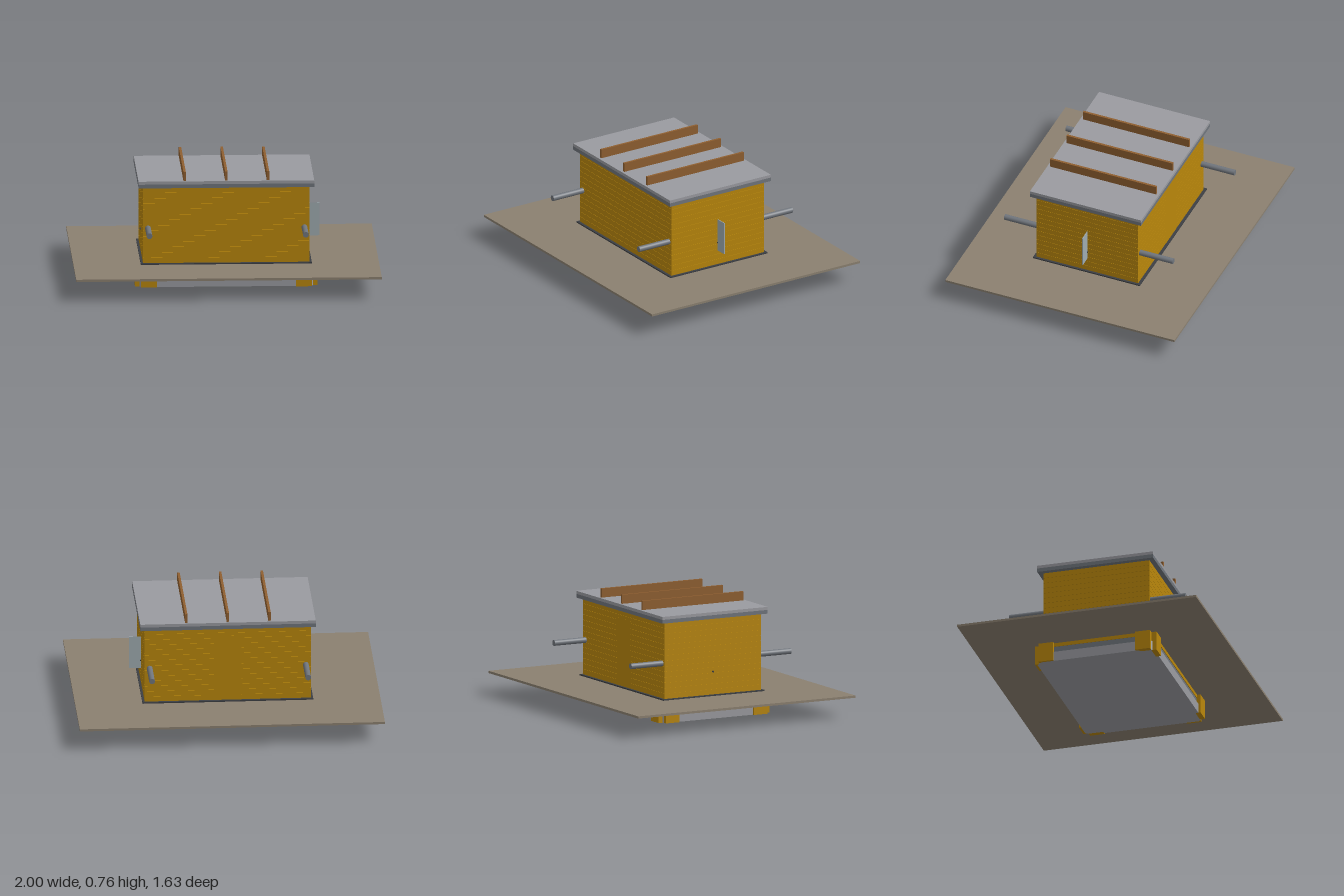
import * as THREE from 'three';

const mat = (color) => new THREE.MeshStandardMaterial({ color });
const wood = mat(0xb8860b);
const steel = mat(0x9a9ba0);
const darkSteel = mat(0x70757c);
const earth = mat(0x8b8070);
const timber = mat(0x8f5f30);
const dark = mat(0x3c3f44);
const pane = mat(0x9fabb0);

function part(parent, name, geometry, material, x = 0, y = 0, z = 0) {
  const mesh = new THREE.Mesh(geometry, material);
  mesh.name = name;
  mesh.position.set(x, y, z);
  parent.add(mesh);
  return mesh;
}

// Box given by its width, depth and its bottom and top heights
function slab(parent, name, material, w, d, y0, y1, x = 0, z = 0) {
  return part(parent, name, new THREE.BoxGeometry(w, y1 - y0, d), material, x, (y0 + y1) / 2, z);
}

// Rectangular plate with cut corners, between two heights
function cutPlate(parent, name, material, hx, hz, cut, y0, y1) {
  const shape = new THREE.Shape([
    [hx - cut, -hz], [hx, -hz + cut], [hx, hz - cut], [hx - cut, hz],
    [-hx + cut, hz], [-hx, hz - cut], [-hx, -hz + cut], [-hx + cut, -hz],
  ].map(([x, z]) => new THREE.Vector2(x, z)));
  const geometry = new THREE.ExtrudeGeometry(shape, { depth: y1 - y0, bevelEnabled: false });
  geometry.rotateX(-Math.PI / 2);
  return part(parent, name, geometry, material, 0, y0, 0);
}

export function createModel() {
  const model = new THREE.Group();
  model.name = 'plankedBox';

  // Ground sheet and the dark sill under the walls
  slab(model, 'ground', earth, 2, 1.63, 0.13, 0.145);
  slab(model, 'sill', dark, 1.12, 0.76, 0.145, 0.153);

  // Foundation below the ground: stepped layers with cut corners
  const base = new THREE.Group();
  base.name = 'foundation';
  model.add(base);
  cutPlate(base, 'basePan', steel, 0.583, 0.4, 0.035, 0, 0.065);
  cutPlate(base, 'baseStep', darkSteel, 0.572, 0.388, 0.035, 0.065, 0.105);
  cutPlate(base, 'baseFrame', wood, 0.575, 0.392, 0.035, 0.105, 0.13);

  // A pair of boards at each foundation corner
  for (const sx of [-1, 1]) {
    for (const sz of [-1, 1]) {
      slab(base, 'cornerBoardLong', wood, 0.105, 0.035, 0, 0.13, sx * 0.508, sz * 0.3975);
      slab(base, 'cornerBoardShort', wood, 0.035, 0.1, 0, 0.13, sx * 0.58, sz * 0.33);
    }
  }

  // Walls: a core wrapped in courses of planks with fine gaps
  const walls = new THREE.Group();
  walls.name = 'walls';
  model.add(walls);
  slab(walls, 'wallCore', wood, 1.084, 0.718, 0.15, 0.66);
  const courses = 14, pitch = 0.507 / courses;
  for (let i = 0; i < courses; i++) {
    const y = 0.153 + i * pitch;
    slab(walls, 'plankCourse', wood, 1.09, 0.724, y, y + pitch - 0.0015);
  }

  // Plain door on the back wall
  slab(model, 'door', wood, 0.18, 0.01, 0.153, 0.6, 0, -0.358);

  // Roof in two layers, with three battens
  slab(model, 'roofRim', darkSteel, 1.15, 0.79, 0.66, 0.685);
  slab(model, 'roofSheet', steel, 1.15, 0.79, 0.685, 0.705);
  for (const x of [-0.273, 0, 0.273]) {
    slab(model, 'roofBatten', timber, 0.016, 0.756, 0.705, 0.765, x);
  }

  // Carrying bars through the box, and a small stud on each end wall
  for (const sx of [-1, 1]) {
    const bar = part(model, 'carryingBar', new THREE.CylinderGeometry(0.019, 0.019, 1.2, 24), darkSteel, sx * 0.512, 0.385, 0);
    bar.rotation.x = Math.PI / 2;
    const stud = part(model, 'stud', new THREE.CylinderGeometry(0.006, 0.006, 0.014, 12), dark, sx * 0.545, 0.305, 0);
    stud.rotation.z = Math.PI / 2;
  }

  // Thin upright vane on the left end wall
  slab(model, 'vane', pane, 0.085, 0.005, 0.25, 0.47, 0.5815);

  return model;
}
